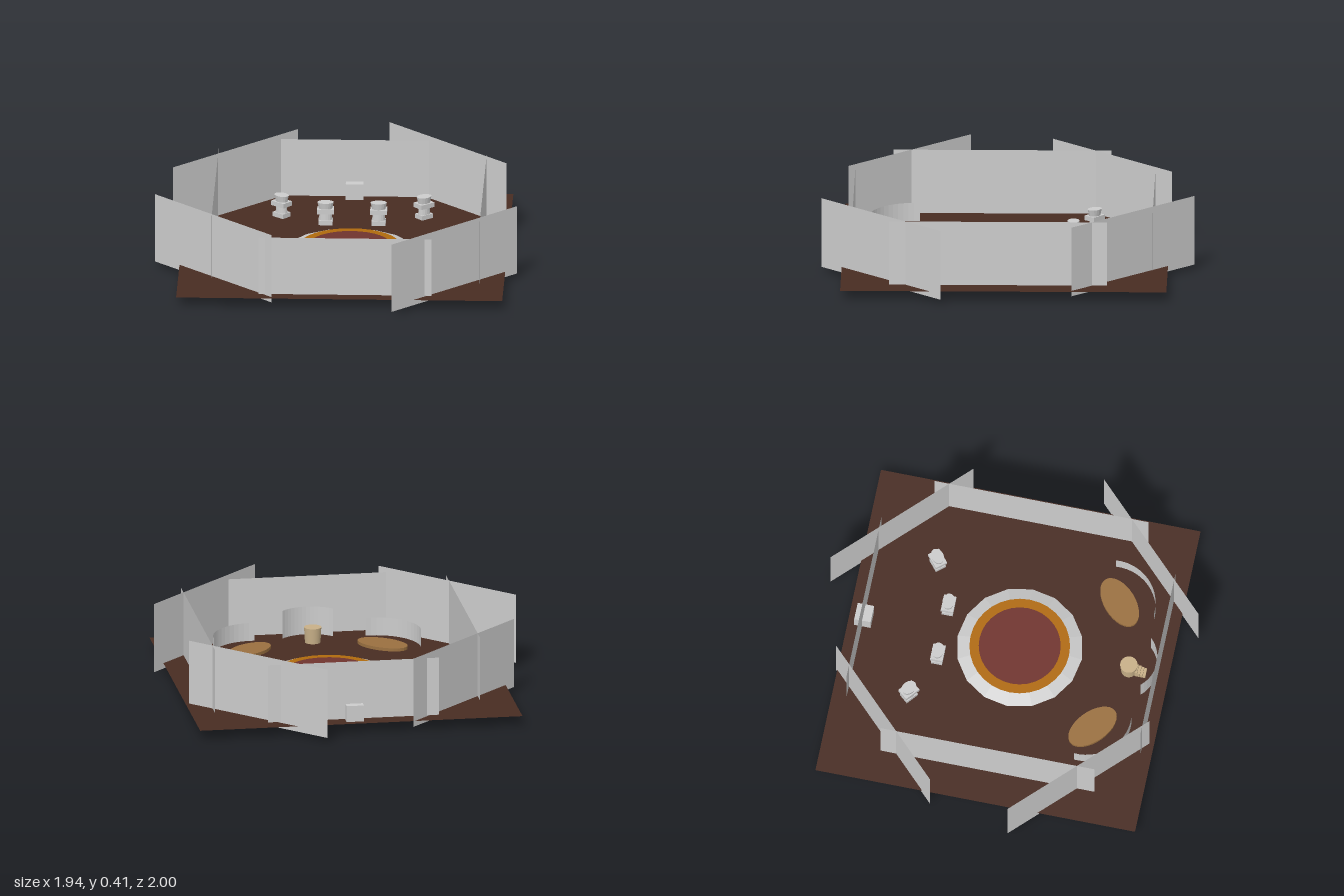
import * as THREE from 'three';

const mat = (name, color, side = THREE.FrontSide, flatShading = false) => {
  const m = new THREE.MeshStandardMaterial({ color, side, flatShading });
  m.name = name;
  return m;
};

export function createModel() {
  const model = new THREE.Group();
  const floorBrown = mat('floor brown', 0x482c22, THREE.DoubleSide);
  const grey = mat('light grey', 0xcccccc, THREE.DoubleSide, true);
  const wood = mat('wood', 0x9a7040, THREE.FrontSide, true);
  const amber = mat('amber', 0xb06a0c);
  const red = mat('dark red', 0x70342e);
  const beige = mat('beige', 0xc8b088);
  const black = mat('black', 0x080808);

  const add = (name, geometry, material, x = 0, y = 0, z = 0, turn = 0, parent = model) => {
    const mesh = new THREE.Mesh(geometry, material);
    mesh.name = name;
    mesh.position.set(x, y, z);
    mesh.rotation.y = turn;
    parent.add(mesh);
    return mesh;
  };
  const FLOOR = 0.055;

  // Square floor sheet
  add('floor', new THREE.PlaneGeometry(1.75, 1.75).rotateX(-Math.PI / 2), floorBrown, 0.035, FLOOR, 0.015);

  // Eight crossing wall sheets, each given by its two ends in plan
  const wall = (name, x1, z1, x2, z2, bottom, top) =>
    add(name, new THREE.PlaneGeometry(Math.hypot(x2 - x1, z2 - z1), top - bottom), grey,
      (x1 + x2) / 2, (bottom + top) / 2, (z1 + z2) / 2, -Math.atan2(z2 - z1, x2 - x1));
  wall('frontWall', -0.4, 0.83, 0.53, 0.83, 0.06, 0.38);
  wall('backWall', -0.4, -0.78, 0.53, -0.78, 0.06, 0.38);
  wall('leftWall', 0.78, 0.63, 0.78, -0.54, 0.025, 0.407);
  wall('rightWall', -0.66, -0.54, -0.66, 0.63, 0.025, 0.407);
  wall('frontLeftWall', 0.32, 1.0, 0.97, 0.35, 0.025, 0.407);
  wall('frontRightWall', -0.975, 0.22, -0.33, 0.865, 0.025, 0.407);
  wall('backLeftWall', 0.89, -0.35, 0.24, -1.0, 0.025, 0.407);
  wall('backRightWall', -0.245, -0.87, -0.895, -0.22, 0.025, 0.407);

  // Round stage: wooden drum, sloped rim, amber ring and red top
  const stage = new THREE.Group();
  stage.name = 'stage';
  stage.position.set(0.065, 0, 0.073);
  model.add(stage);
  add('stageDrum', new THREE.CylinderGeometry(0.28, 0.28, 0.075, 16), [wood, wood, black], 0, 0.0375, 0, 0, stage);
  add('stageRim', new THREE.CylinderGeometry(0.265, 0.34, 0.025, 16, 1, true), grey, 0, 0.068, 0, 0, stage);
  add('stageRing', new THREE.RingGeometry(0.215, 0.27, 32).rotateX(-Math.PI / 2), amber, 0, 0.081, 0, 0, stage);
  add('stageTop', new THREE.CircleGeometry(0.22, 32).rotateX(-Math.PI / 2), red, 0, 0.083, 0, 0, stage);

  // Four pedestal seats behind the stage
  [[-0.32, -0.455, -0.7], [-0.08, -0.345, 0], [0.205, -0.345, 0], [0.445, -0.455, 0.7]].forEach(([x, z, turn]) => {
    const seat = new THREE.Group();
    seat.name = 'seat';
    seat.position.set(x, 0, z);
    seat.rotation.y = turn;
    model.add(seat);
    const oval = (r1, r2, h) => new THREE.CylinderGeometry(r1, r2, h, 16).scale(1, 1, 0.75);
    add('seatBase', new THREE.BoxGeometry(0.075, 0.03, 0.06), grey, 0, 0.065, 0, 0, seat);
    add('seatColumn', oval(0.032, 0.036, 0.05), grey, 0, 0.1, 0, 0, seat);
    add('seatBand', new THREE.BoxGeometry(0.09, 0.025, 0.068), grey, 0, 0.13, 0, 0, seat);
    add('seatTop', oval(0.044, 0.036, 0.035), grey, 0, 0.16, 0, 0, seat);
  });

  // Plain box by the back wall
  add('backBox', new THREE.BoxGeometry(0.095, 0.095, 0.09), grey, 0.062, 0.0965, -0.778);

  // Curved screen: sheet bulging along the plan direction given by angle
  const screen = (name, x, z, radius, half, height, angle) =>
    add(name, new THREE.CylinderGeometry(radius, radius, height, 14, 1, true, angle - half, half * 2),
      grey, x, FLOOR + height / 2, z);

  // Oval tables with a curved screen behind each
  for (const s of [-1, 1]) {
    const x = 0.06 + s * 0.362, z = 0.547, d = 0.06 * Math.SQRT1_2;
    const top = new THREE.CylinderGeometry(1, 1, 0.022, 32).scale(0.15, 1, 0.084);
    add('ovalTable', top, mat.wood ?? wood, x, 0.061, z, s * 0.72);
    screen('tableScreen', x - s * d, z - d, 0.243, 0.86, 0.1, s * Math.PI / 4);
  }

  // Beige drum with small ribbed steps and a curved screen
  add('drum', new THREE.CylinderGeometry(0.047, 0.042, 0.09, 20), beige, 0.058, 0.095, 0.672);
  for (let i = 0; i < 4; i++)
    add('drumStep', new THREE.BoxGeometry(0.05, 0.06 - i * 0.012, 0.014), beige, 0.055, 0.08 - i * 0.006, 0.715 + i * 0.015);
  screen('drumScreen', 0.07, 0.635, 0.187, 0.82, 0.155, 0);

  return model;
}
